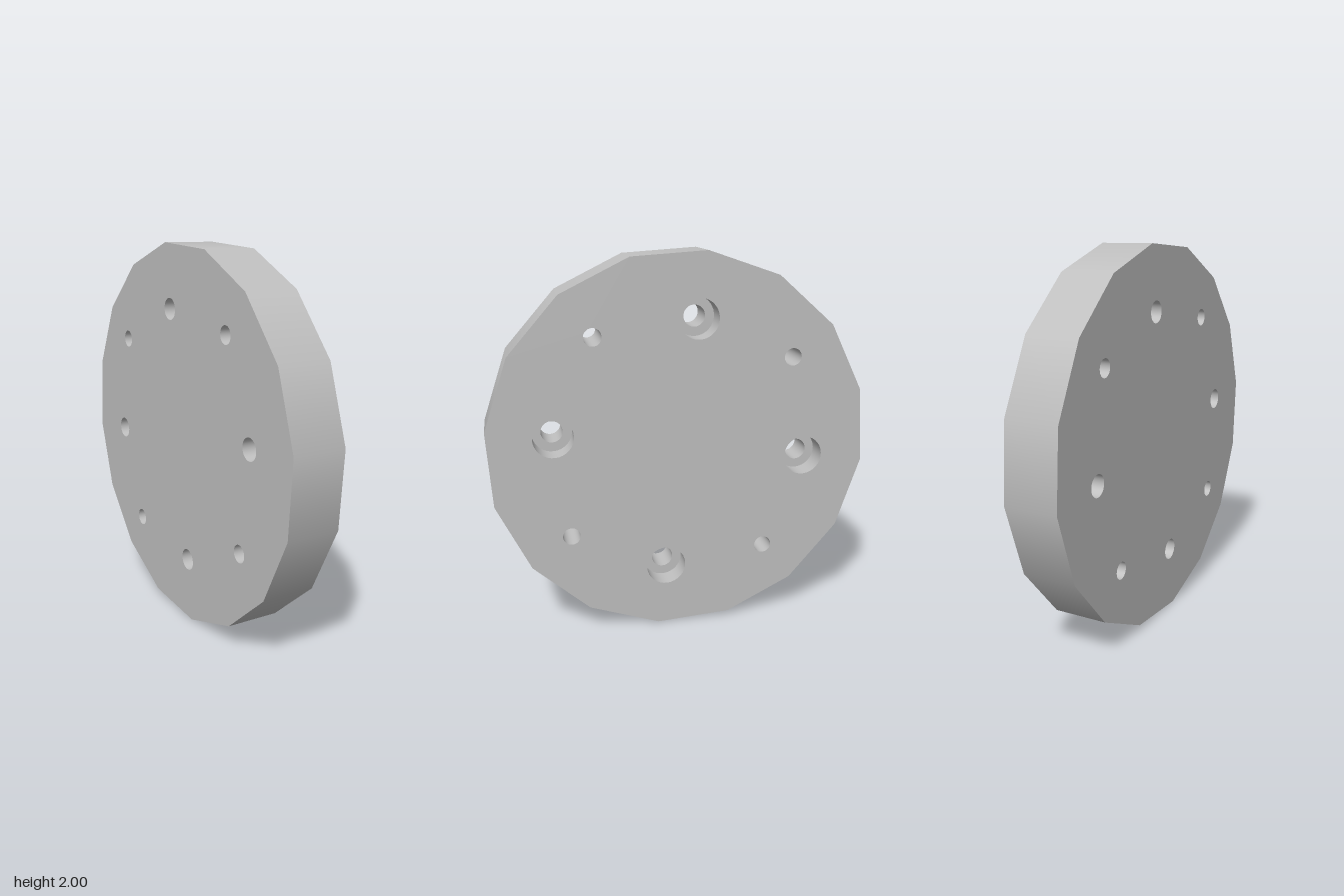
import * as THREE from 'three';

const RADIUS = 1.0085, THICK = 0.284, HALF = THICK / 2;
const BORE_R = 0.105, BORE_DEPTH = 0.12, BOLT_R = 0.057, PIN_R = 0.046;
const BOLT_CIRCLE = 0.67, PIN_CIRCLE = 0.743;

// Open tube along z between two depths; inward tubes face their own axis
function wall(radius, z0, z1, sides, inward) {
  const geo = new THREE.CylinderGeometry(radius, radius, z1 - z0, sides, 1, true);
  geo.rotateX(Math.PI / 2).translate(0, 0, (z0 + z1) / 2);
  if (inward) {
    geo.index.array.reverse();
    const n = geo.attributes.normal;
    for (let i = 0; i < n.count; i++) n.setXYZ(i, -n.getX(i), -n.getY(i), -n.getZ(i));
  }
  return geo;
}

// Four positions evenly spaced on a circle
function ring(radius, start) {
  return [0, 1, 2, 3].map((i) => {
    const a = start + i * Math.PI / 2;
    return new THREE.Vector2(radius * Math.cos(a), radius * Math.sin(a));
  });
}

export function createModel() {
  const steel = new THREE.MeshStandardMaterial({ color: 0xbfbfbf });
  steel.name = 'grey steel';
  const disc = new THREE.Group();
  disc.name = 'flangeDisc';
  const add = (name, geo, x = 0, y = 0) => {
    const mesh = new THREE.Mesh(geo, steel);
    mesh.name = name;
    mesh.position.set(x, y, 0);
    disc.add(mesh);
  };

  const bolts = ring(BOLT_CIRCLE, 0);
  const pins = ring(PIN_CIRCLE, Math.PI / 4);

  // Sixteen-sided face pierced by bolt and pin holes
  const face = (boltRadius) => {
    const corners = Array.from({ length: 16 }, (_, i) => {
      const a = i * Math.PI / 8;
      return new THREE.Vector2(RADIUS * Math.cos(a), RADIUS * Math.sin(a));
    });
    const shape = new THREE.Shape(corners);
    const pierce = (p, r) => shape.holes.push(new THREE.Path().absarc(p.x, p.y, r, 0, Math.PI * 2, true));
    bolts.forEach((p) => pierce(p, boltRadius));
    pins.forEach((p) => pierce(p, PIN_R));
    return new THREE.ShapeGeometry(shape, 16);
  };
  add('counterboredFace', face(BORE_R).translate(0, 0, HALF));
  add('plainFace', face(BOLT_R).rotateY(Math.PI).translate(0, 0, -HALF));
  add('rim', wall(RADIUS, -HALF, HALF, 16, false));

  // Stepped bolt holes
  const ledge = HALF - BORE_DEPTH;
  for (const { x, y } of bolts) {
    add('counterbore', wall(BORE_R, ledge, HALF, 32, true), x, y);
    add('counterboreLedge', new THREE.RingGeometry(BOLT_R, BORE_R, 32).translate(0, 0, ledge), x, y);
    add('boltHole', wall(BOLT_R, -HALF, ledge, 32, true), x, y);
  }
  // Straight pin holes
  for (const { x, y } of pins) add('pinHole', wall(PIN_R, -HALF, HALF, 32, true), x, y);

  // Stand the disc on edge, turned slightly about the vertical
  const deg = Math.PI / 180;
  disc.rotation.set(0, (90 + 17.25) * deg, -7.5 * deg);
  disc.position.y = 1;
  const model = new THREE.Group();
  model.name = 'flange';
  model.add(disc);
  return model;
}
